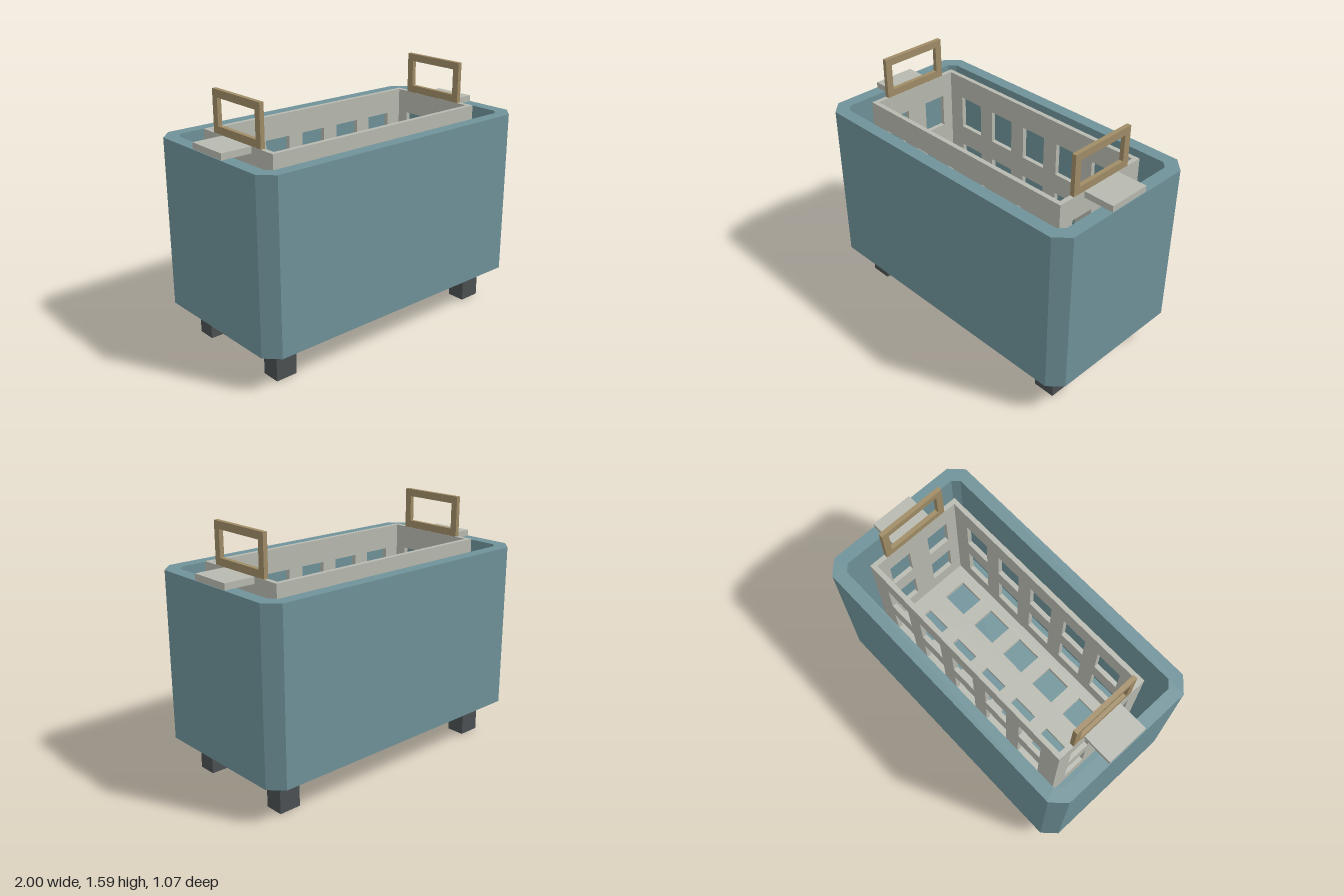
import * as THREE from 'three';

const mat = (color) => new THREE.MeshStandardMaterial({ color, flatShading: true });
const MATS = {
  tank: mat(0x6f9299),
  skirt: mat(0x425c65),
  feet: mat(0x4c5052),
  basket: mat(0xb8bab0),
  handle: mat(0xa08c66),
};

// Rectangle outline with chamfered corners, centred on (0, cy)
function outline(hw, hh, c = 0, Type = THREE.Shape, cx = 0, cy = 0) {
  const pts = c
    ? [[-hw + c, -hh], [hw - c, -hh], [hw, -hh + c], [hw, hh - c], [hw - c, hh], [-hw + c, hh], [-hw, hh - c], [-hw, -hh + c]]
    : [[-hw, -hh], [hw, -hh], [hw, hh], [-hw, hh]];
  return new Type(pts.map(([x, y]) => new THREE.Vector2(x + cx, y + cy)));
}

const extrude = (shape, depth) => new THREE.ExtrudeGeometry(shape, { depth, bevelEnabled: false });

// Plan-view shape raised from y0 to y1
const raise = (shape, y0, y1) => extrude(shape, y1 - y0).rotateX(-Math.PI / 2).translate(0, y0, 0);

// Panel centred on (0, cy) with a grid of rectangular openings
function panel(w, h, cy, xs, ys, hw, hh, t) {
  const s = outline(w / 2, h / 2, 0, THREE.Shape, 0, cy);
  for (const x of xs) for (const y of ys) s.holes.push(outline(hw, hh, 0, THREE.Path, x, y));
  return extrude(s, t);
}

export function createModel() {
  const model = new THREE.Group();
  const add = (name, geometry, material, parent = model) => {
    const mesh = new THREE.Mesh(geometry, material);
    mesh.name = name;
    parent.add(mesh);
    return mesh;
  };
  const box = (x0, x1, y0, y1, z0, z1) => new THREE.BoxGeometry(x1 - x0, y1 - y0, z1 - z0)
    .translate((x0 + x1) / 2, (y0 + y1) / 2, (z0 + z1) / 2);

  // Open tank with chamfered corners
  const wall = outline(1, 0.533, 0.083);
  wall.holes.push(outline(0.918, 0.453, 0.04, THREE.Path));
  add('tankWall', raise(wall, 0.228, 1.29), MATS.tank);
  add('tankFloor', raise(outline(0.918, 0.453, 0.04), 0.228, 0.31), MATS.tank);

  // Hollow base skirt and four feet
  const skirt = outline(0.858, 0.403);
  skirt.holes.push(outline(0.75, 0.295, 0, THREE.Path));
  add('baseSkirt', raise(skirt, 0.145, 0.228), MATS.skirt);
  for (const sx of [-1, 1]) for (const sz of [-1, 1]) {
    add('foot', new THREE.BoxGeometry(0.142, 0.146, 0.12).translate(sx * 0.787, 0.073, sz * 0.335), MATS.feet);
  }

  // Perforated basket
  const basket = new THREE.Group();
  basket.name = 'basket';
  model.add(basket);
  const T = 0.03, HX = 0.797, HZ = 0.333, Y0 = 0.45, Y1 = 1.33;
  const cols = [-2, -1, 0, 1, 2].map((i) => i * 0.285), pair = [-0.15, 0.15], rows = [0.71, 1.07];
  const h = Y1 - Y0, cy = (Y0 + Y1) / 2;
  for (const s of [-1, 1]) {
    add('basketSide', panel(2 * HX, h, cy, cols, rows, 0.09, 0.11, T)
      .translate(0, 0, s > 0 ? HZ - T : -HZ), MATS.basket, basket);
    add('basketEnd', panel(2 * (HZ - T), h, cy, pair, rows, 0.078, 0.11, T)
      .rotateY(Math.PI / 2).translate(s > 0 ? HX - T : -HX, 0, 0), MATS.basket, basket);
  }
  add('basketFloor', panel(2 * (HX - T), 2 * (HZ - T), 0, cols, pair, 0.09, 0.078, T)
    .rotateX(-Math.PI / 2).translate(0, Y0, 0), MATS.basket, basket);

  // Rests that carry the basket on the tank rim, and frame handles
  for (const s of [-1, 1]) {
    const [a, b] = s > 0 ? [HX, 0.995] : [-0.995, -HX];
    add('rimRest', box(a, b, 1.29, 1.33, -0.14, 0.14), MATS.basket);
    const frame = outline(0.225, 0.13, 0, THREE.Shape, 0, 1.46);
    frame.holes.push(outline(0.18, 0.083, 0, THREE.Path, 0, 1.46));
    add('handle', extrude(frame, 0.028).rotateY(Math.PI / 2)
      .translate(s > 0 ? HX - 0.029 : -HX + 0.001, 0, 0), MATS.handle);
  }
  return model;
}
